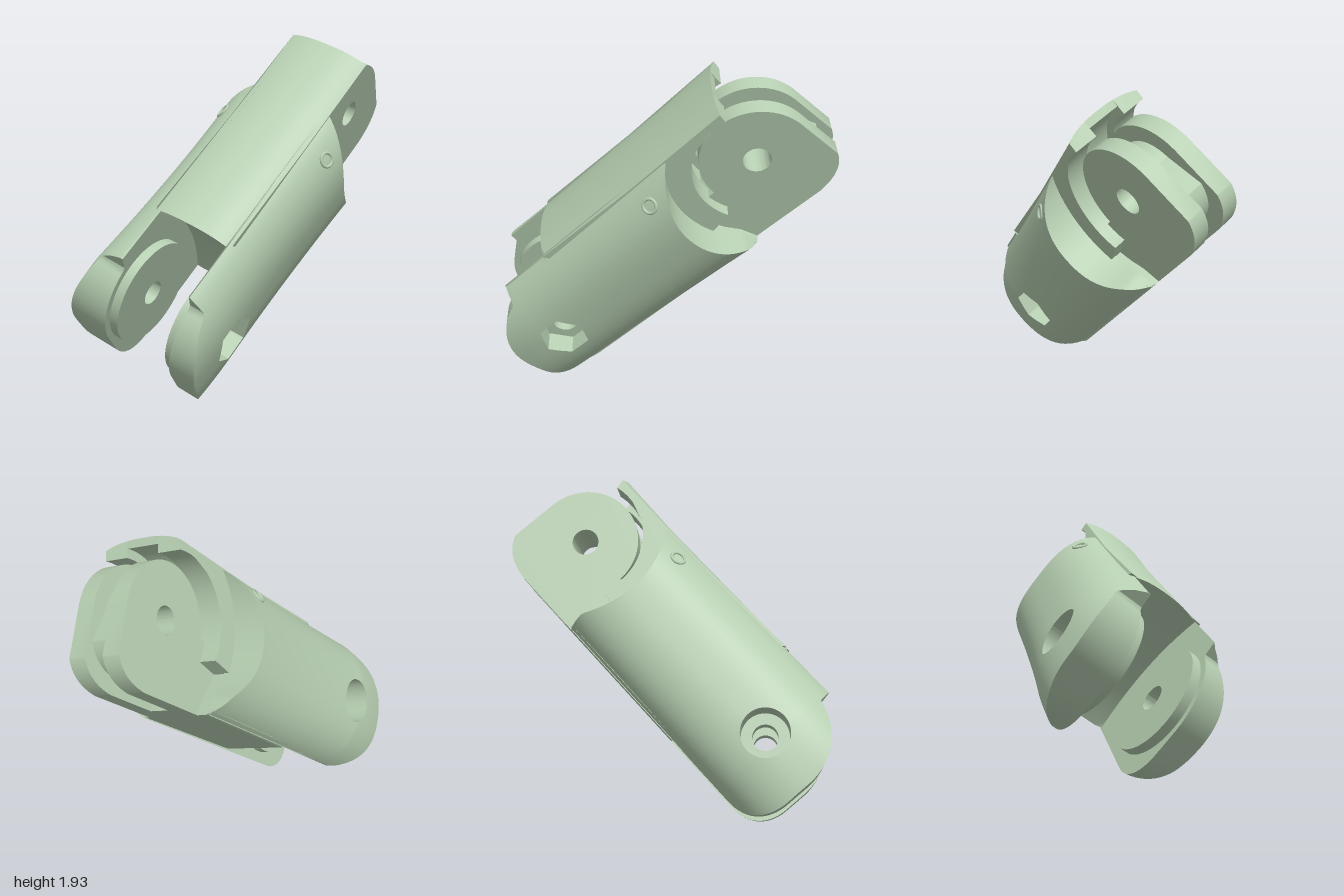
import * as THREE from 'three';
import { toCreasedNormals } from 'three/addons/utils/BufferGeometryUtils.js';

// Local frame: X along the link, Y to its back, Z along the hinge pins
const HALF = 0.21;                 // half width of the fork gap
const HOOD = 0.24;                 // half width of the hood and web
const BOTTOM = -0.35;
const FORK = { x: -0.75, y: 0.02 };
const TONGUE = { x: 0.784, y: 0.05 };
const MID_Y = 0.045, HALF_Y = 0.42, POW = 2.5;

// Half width of the rounded body along its length, for each side
function halfWidth(x, side) {
  const t = THREE.MathUtils.clamp((x + 0.8) / 1.25, 0, 1);
  const a = side > 0 ? 0.385 + 0.05 * t * t : 0.465 - 0.12 * t + 0.085 * t * t;
  const end = Math.max(0, (-0.78 - x) / 0.42);
  return a * (1 - 0.08 * end * end);
}

// Outer skin height above the hinge mid-plane
function skin(x, y, side) {
  const u = Math.min(1, Math.abs((y - MID_Y) / HALF_Y));
  return Math.max(HALF, halfWidth(x, side) * Math.pow(1 - Math.pow(u, POW), 1 / POW));
}

// Closed skin through a ring of loops; the last loop joins the first
function loftRing(loops, flip) {
  const n = loops[0].length, pos = loops.flat(2), idx = [];
  loops.forEach((_, r) => {
    const a = r * n, b = ((r + 1) % loops.length) * n;
    for (let i = 0; i < n; i++) {
      const j = (i + 1) % n;
      if (flip) idx.push(a + i, b + i, a + j, a + j, b + i, b + j);
      else idx.push(a + i, a + j, b + i, a + j, b + j, b + i);
    }
  });
  const g = new THREE.BufferGeometry();
  g.setAttribute('position', new THREE.Float32BufferAttribute(pos, 3));
  g.setIndex(idx);
  return toCreasedNormals(g, 0.6);
}

// Side cheek with stop tab, rounded fork end, concave tongue end and pin pocket
function cheekGeometry(side) {
  const s = new THREE.Shape();
  s.moveTo(-0.8, 0.436);
  s.lineTo(0.5, 0.436);
  s.absarc(TONGUE.x, TONGUE.y, 0.48, 2.205, 3.817, false);
  s.lineTo(0.43, BOTTOM);
  s.lineTo(-0.86, BOTTOM);
  s.bezierCurveTo(-0.99, BOTTOM, -1.07, -0.27, -1.08, -0.14);
  s.lineTo(FORK.x - 0.336, FORK.y);
  s.absarc(FORK.x, FORK.y, 0.336, Math.PI, 1.76, true);
  s.lineTo(-0.8, 0.436);
  const edge = s.getSpacedPoints(180).slice(0, 180);
  const angles = edge.map(p => Math.atan2(p.y - FORK.y, p.x - FORK.x));
  const sector = Math.PI / 3;
  // hexagonal nut pocket in front, round screw pocket behind
  const pocket = a => side < 0 ? 0.13
    : 0.122 / Math.cos(((a + Math.PI * 2) % sector) - sector / 2);
  const ring = (radius, z) => angles.map(a => {
    const r = radius(a), x = FORK.x + r * Math.cos(a), y = FORK.y + r * Math.sin(a);
    return [x, y, side * (z ?? skin(x, y, side))];
  });
  const hole = () => 0.07, floor = 0.26;
  const loops = [ring(hole, HALF), ring(hole, floor), ring(pocket, floor)];
  const steps = 18;
  for (let k = 0; k <= steps; k++) {
    const t = 1 - Math.pow(1 - k / steps, 1.5);
    loops.push(edge.map((p, i) => {
      const r = pocket(angles[i]);
      const x = THREE.MathUtils.lerp(FORK.x + r * Math.cos(angles[i]), p.x, t);
      const y = THREE.MathUtils.lerp(FORK.y + r * Math.sin(angles[i]), p.y, t);
      return [x, y, side * skin(x, y, side)];
    }));
  }
  loops.push(edge.map(p => [p.x, p.y, side * HALF]));
  return loftRing(loops, side < 0);
}

function slab(shape, z0, z1, steps = 1) {
  const g = new THREE.ExtrudeGeometry(shape, { depth: z1 - z0, steps, bevelEnabled: false, curveSegments: 32 });
  return g.translate(0, 0, z0);
}

// Web layer with the hood that reaches over the tongue
function webGeometry(z0, z1, hoodRadius) {
  const top = MID_Y + HALF_Y, s = new THREE.Shape();
  s.moveTo(-0.47, top);
  s.lineTo(0.5, top);
  s.lineTo(0.875, top + 0.015);
  s.absarc(TONGUE.x, TONGUE.y, hoodRadius, Math.acos(0.081 / hoodRadius), 3.5, false);
  for (const [x, y] of [[0.32, -0.1], [0.35, -0.17], [0.4, -0.25], [0.43, BOTTOM]]) s.lineTo(x, y);
  s.lineTo(-0.355, BOTTOM);
  s.quadraticCurveTo(-0.25, 0.1, -0.47, top);
  const g = slab(s, z0, z1, 6), p = g.attributes.position;
  // bend the top and bottom to the body's rounded section
  for (let i = 0; i < p.count; i++) {
    const y = p.getY(i), u = Math.abs(p.getZ(i)) / halfWidth(p.getX(i), p.getZ(i));
    const h = HALF_Y * Math.pow(1 - Math.pow(u, POW), 1 / POW);
    p.setY(i, y > 0.46 ? y - HALF_Y + h : Math.max(y, MID_Y - h));
  }
  return toCreasedNormals(g, 0.6);
}

// Tongue plate; inset shrinks its rim to leave the cord groove
function tongueGeometry(z0, z1, inset) {
  const r = 0.305 - inset, end = 1.1 - inset * 0.4, low = BOTTOM + inset, s = new THREE.Shape();
  s.moveTo(0.28, BOTTOM);
  s.lineTo(0.55, BOTTOM);
  s.lineTo(0.56, low);
  s.lineTo(0.88, low);
  s.quadraticCurveTo(end - 0.05, low + 0.02, end, low + 0.13);
  s.lineTo(TONGUE.x + r, TONGUE.y + 0.02);
  s.absarc(TONGUE.x, TONGUE.y, r, 0.1, Math.PI, false);
  s.lineTo(0.28, TONGUE.y);
  s.holes.push(new THREE.Path().absarc(TONGUE.x, TONGUE.y, 0.075, 0, Math.PI * 2, true));
  return toCreasedNormals(slab(s, z0, z1), 0.6);
}

export function createModel() {
  const green = new THREE.MeshStandardMaterial({ color: 0xb5cdb0 });
  green.name = 'sage green';
  const link = new THREE.Group();
  link.name = 'fingerLink';
  const add = (name, geometry) => {
    const m = new THREE.Mesh(geometry, green);
    m.name = name;
    link.add(m);
    return m;
  };

  // Central web and hood, with a cord channel under the middle
  add('webBack', webGeometry(-HOOD, -0.1, 0.345));
  add('webMiddle', webGeometry(-0.1, 0.1, 0.395));
  add('webFront', webGeometry(0.1, HOOD, 0.345));

  // Grooved hinge tongue
  add('tongueBack', tongueGeometry(-0.14, -0.04, 0));
  add('tongueCore', tongueGeometry(-0.04, 0.07, 0.09));
  add('tongueFront', tongueGeometry(0.07, 0.17, 0));

  // Cheeks, washers inside the fork and small cord pin rims
  for (const side of [1, -1]) {
    const label = side > 0 ? 'Front' : 'Back';
    add('cheek' + label, cheekGeometry(side));

    const washer = new THREE.Shape().absarc(FORK.x, FORK.y, 0.3, 0, Math.PI * 2, false);
    washer.holes.push(new THREE.Path().absarc(FORK.x, FORK.y, 0.07, 0, Math.PI * 2, true));
    const z = side * (HALF - 0.025);
    add('washer' + label, toCreasedNormals(slab(washer, z - 0.027, z + 0.027), 0.6));

    const rim = add('pinRim' + label, new THREE.TorusGeometry(0.038, 0.009, 8, 20));
    rim.position.set(0.28, 0.34, side * skin(0.28, 0.34, side));
    rim.rotation.x = -0.67 * side;
  }

  // Tilt the link into its pose, its lowest corner on the ground
  const n = new THREE.Vector3(0.29, -0.355, 0.887).normalize();
  const l = new THREE.Vector3(0.74, 0.67, 0.027);
  l.addScaledVector(n, -l.dot(n)).normalize();
  const u = new THREE.Vector3().crossVectors(n, l);
  link.quaternion.setFromRotationMatrix(new THREE.Matrix4().makeBasis(l, u, n));
  link.position.y = 0.97;

  const model = new THREE.Group();
  model.name = 'hingedFingerSegment';
  model.add(link);
  return model;
}
